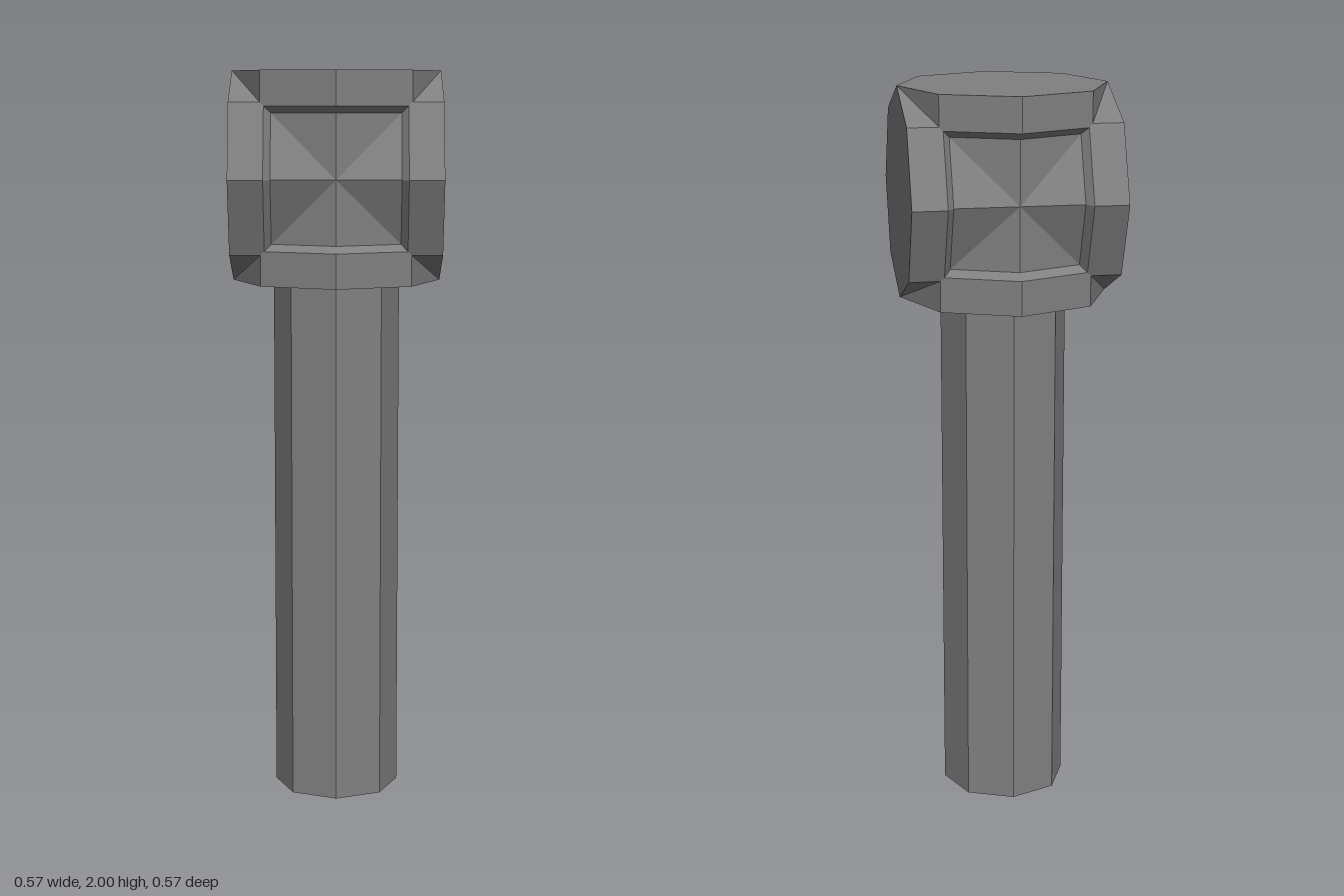
import * as THREE from 'three';

const SIDES = 8;
const HEAD_Y = 1.717;

// Faceted solid of revolution about y, closed at both ends; points run upwards
function faceted(name, profile, material) {
  const points = profile.map(([r, y]) => new THREE.Vector2(r, y));
  const mesh = new THREE.Mesh(new THREE.LatheGeometry(points, SIDES), material);
  mesh.name = name;
  return mesh;
}

export function createModel() {
  const model = new THREE.Group();
  model.name = 'mallet';

  const grey = new THREE.MeshStandardMaterial({ color: 0x808080, flatShading: true });
  grey.name = 'grey';

  // Octagonal handle, running a little way into the head
  model.add(faceted('handle', [[0, 0], [0.172, 0], [0.172, 1.5], [0, 1.5]], grey));

  // Head: two crossed octagonal barrels with wide, chamfered striking faces
  const head = new THREE.Group();
  head.name = 'head';
  head.position.y = HEAD_Y;
  const half = [[0.257, 0.172], [0.283, 0.19], [0.283, 0.283], [0, 0.283]];
  const profile = [...half.map(([r, y]) => [r, -y]).reverse(), ...half];

  const upright = faceted('uprightBarrel', profile, grey);
  const sideways = faceted('sidewaysBarrel', profile, grey);
  sideways.rotation.z = Math.PI / 2;
  head.add(upright, sideways);
  model.add(head);

  return model;
}
